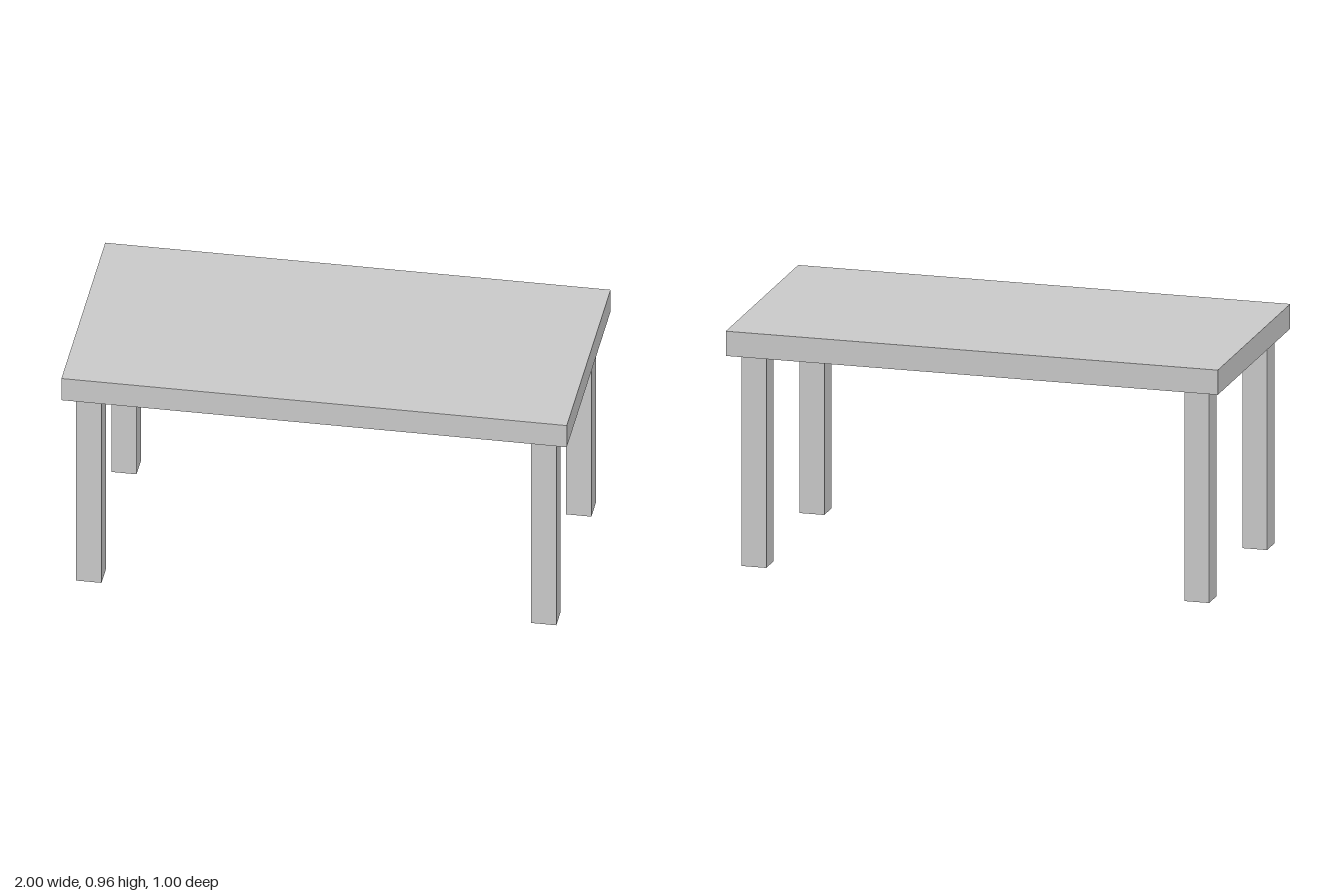
import * as THREE from 'three';

const LEG_HEIGHT = 0.86;
const LEG_WIDTH = 0.1;
const TOP_THICKNESS = 0.1;

export function createModel() {
  const table = new THREE.Group();
  table.name = 'table';
  const material = new THREE.MeshStandardMaterial({ color: 0xcccccc });

  // Tabletop slab
  const top = new THREE.Mesh(new THREE.BoxGeometry(2, TOP_THICKNESS, 1), material);
  top.name = 'tabletop';
  top.position.y = LEG_HEIGHT + TOP_THICKNESS / 2;
  table.add(top);

  // Four square legs, inset from the corners
  const legGeometry = new THREE.BoxGeometry(LEG_WIDTH, LEG_HEIGHT, LEG_WIDTH);
  for (const [zName, z] of [['front', 0.4], ['back', -0.4]]) {
    for (const [xName, x] of [['Left', 0.9], ['Right', -0.9]]) {
      const leg = new THREE.Mesh(legGeometry, material);
      leg.name = `${zName}${xName}Leg`;
      leg.position.set(x, LEG_HEIGHT / 2, z);
      table.add(leg);
    }
  }
  return table;
}
